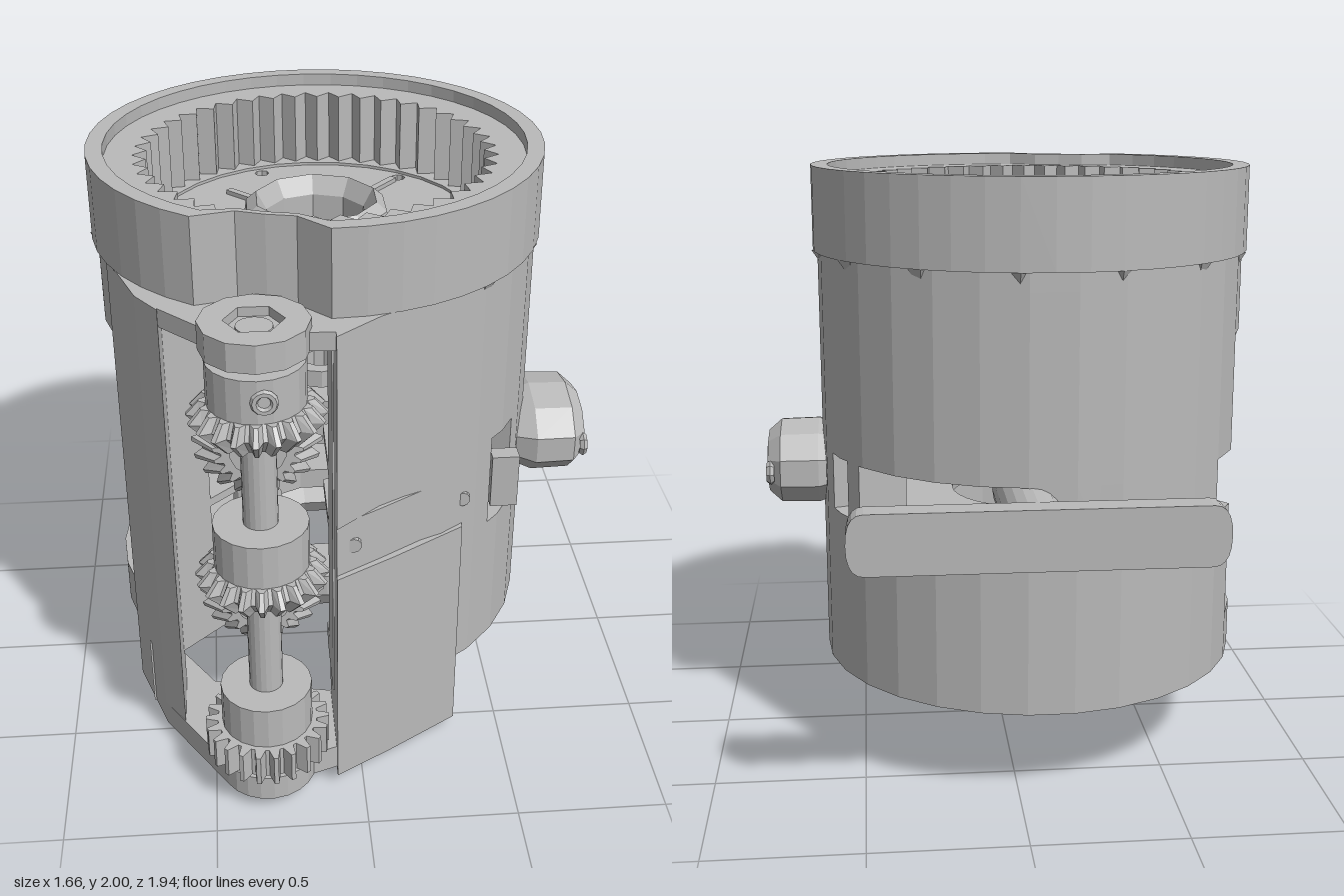
import * as THREE from 'three';

const grey = new THREE.MeshStandardMaterial({ color: 0xbababa, flatShading: true });
grey.name = 'plainGrey';
const CX = -0.095, CZ = -0.02;   // drum axis
const SX = -0.32, SZ = 0.76;     // gear column axis
const rad = THREE.MathUtils.degToRad;

function add(group, name, geometry, x = 0, y = 0, z = 0) {
  const mesh = new THREE.Mesh(geometry, grey);
  mesh.name = name;
  mesh.position.set(x, y, z);
  group.add(mesh);
  return mesh;
}

// Upright prism from an (x, z) outline
function prism(points, y0, y1, holes = []) {
  const v = (list) => list.map(([x, z]) => new THREE.Vector2(x, z));
  const shape = new THREE.Shape(v(points));
  holes.forEach((h) => shape.holes.push(new THREE.Path(v(h))));
  const g = new THREE.ExtrudeGeometry(shape, { depth: y1 - y0, bevelEnabled: false });
  return g.rotateX(Math.PI / 2).translate(0, y1, 0);
}

// Points along a circle; r may depend on the index and angle
function arc(cx, cz, r, a0, a1, n, closed = false) {
  const pts = [];
  for (let i = 0; i < (closed ? n : n + 1); i++) {
    const a = rad(a0 + ((a1 - a0) * i) / n);
    const q = typeof r === 'function' ? r(i, a) : r;
    pts.push([cx + q * Math.cos(a), cz + q * Math.sin(a)]);
  }
  return pts;
}
const circle = (cx, cz, r, n) => arc(cx, cz, r, 0, 360, n, true);

// Solid through a stack of [y, outline] sections
function loft(sections) {
  const out = [], n = sections[0][1].length;
  const p = (s, i) => [s[1][i % n][0], s[0], s[1][i % n][1]];
  const lo = sections[0], hi = sections[sections.length - 1];
  for (let i = 0; i < n; i++) {
    for (let s = 0; s + 1 < sections.length; s++) {
      const a = p(sections[s], i), b = p(sections[s], i + 1);
      const c = p(sections[s + 1], i + 1), d = p(sections[s + 1], i);
      out.push(...a, ...d, ...c, ...a, ...c, ...b);
    }
    out.push(0, lo[0], 0, ...p(lo, i), ...p(lo, i + 1));
    out.push(0, hi[0], 0, ...p(hi, i + 1), ...p(hi, i));
  }
  const g = new THREE.BufferGeometry();
  g.setAttribute('position', new THREE.Float32BufferAttribute(out, 3));
  g.computeVertexNormals();
  return g;
}

// Toothed wheel from [y, tip radius, root radius] rows
function gear(rows, teeth) {
  return loft(rows.map(([y, tip, root]) =>
    [y, arc(0, 0, (i) => (i % 4 < 2 ? tip : root), 0, 360, teeth * 4, true)]));
}

// Drum outline between two angles, on fixed 12 degree facets; flat on the left where recessed
function drumArc(a, b, recessed) {
  const stops = [a];
  for (let d = -180; d < 360; d += 6) if (d > a && d < b) stops.push(d);
  return [...stops, b].map((d) => {
    const off = ((d % 12) + 12) % 12 - 6, t = rad(d);
    let r = 0.72 * Math.cos(rad(6)) / Math.cos(rad(off));
    if (recessed && d > 148 && d < 204) r = Math.min(r, 0.585 / Math.abs(Math.cos(t)));
    return [CX + r * Math.cos(t), CZ + r * Math.sin(t)];
  });
}

function buildDrum(g) {
  // Wall bands with their openings in degrees
  const front = [90, 137], side = [29, 41];
  const bands = [
    [0.31, 0.47, [front]],
    [0.47, 0.80, [front]],
    [0.80, 0.87, [side, front]],
    [0.87, 1.06, [[-84, -34], [-28, -18], side, front, [148, 160], [188, 216]]],
    [1.06, 1.13, [side, front]],
    [1.13, 1.45, [front]],
    [1.45, 1.66, [front]],
    [1.66, 1.72, []],
  ];
  for (const [y0, y1, gaps] of bands) {
    let from = -90;
    for (const [a, b] of [...gaps, [270, 270]]) {
      const n = Math.max(1, Math.round((a - from) / 12));
      const outline = [...drumArc(from, a, y0 > 0.4 && y1 < 1.5), ...arc(CX, CZ, 0.53, a, from, n)];
      add(g, 'drumWall', prism(outline, y0, y1));
      from = b;
    }
  }
  // Inner lip at the bottom and decks above and below the handle slot
  for (const [y, h, r] of [[0.31, 0.08, 0.45], [0.84, 0.03, 0.27], [1.06, 0.03, 0.27]])
    add(g, 'innerDeck', prism([...arc(CX, CZ, 0.54, 137, 450, 28), ...arc(CX, CZ, r, 450, 137, 28)], y, y + h));
  // Crown rim, notched for the column, around a slightly lower toothed ring
  const rimRadius = (outer) => (i, t) => {
    const x = CX + 0.73 * Math.cos(t), z = CZ + 0.73 * Math.sin(t);
    return Math.hypot(x - SX, z - SZ) < 0.17 ? 0.645 : outer;
  };
  const crown = (outer) => arc(CX, CZ, rimRadius(outer), 0, 360, 44, true);
  const inner = arc(CX, CZ, (i, t) => Math.min(0.68, rimRadius(0.73)(i, t) - 0.02), 0, 360, 44, true);
  const teeth = arc(CX, CZ, (i) => (i % 2 ? 0.545 : 0.59), 0, 360, 88, true);
  add(g, 'crownRim', prism(crown(0.735), 1.72, 2, [inner]));
  add(g, 'crownTeeth', prism(inner, 1.7, 1.96, [teeth]));
  for (let i = 0; i < 14; i++) {
    const a = rad(i * 25.7 + 150);
    if (Math.sin(a) > 0.75) continue;
    const c = new THREE.ConeGeometry(0.04, 0.06, 4).rotateX(Math.PI);
    add(g, 'crownBracket', c, CX + 0.7 * Math.cos(a), 1.69, CZ + 0.7 * Math.sin(a));
  }
  // Floor, hub and ribs inside the crown
  const holes = [[0.22, -0.4], [-0.41, 0.36], [-0.26, -0.48], [-0.57, -0.1]].map(([x, z]) => circle(x, z, 0.025, 8));
  add(g, 'crownFloor', prism(circle(CX, CZ, 0.61, 40), 1.64, 1.71, [circle(CX, CZ, 0.18, 8), ...holes]));
  const hub = [[0.25, 1.71], [0.24, 1.77], [0.205, 1.8], [0.17, 1.74], [0.17, 1.58], [0.25, 1.58], [0.25, 1.71]];
  add(g, 'crownHub', new THREE.LatheGeometry(hub.map((p) => new THREE.Vector2(...p)), 10), CX, 0, CZ);
  for (const [x, z] of [[0.2, -0.37], [-0.38, -0.3], [-0.39, 0.34], [0.07, 0.45], [-0.13, 0.5]]) {
    const len = Math.hypot(x - CX, z - CZ) - 0.2, a = Math.atan2(z - CZ, x - CX);
    const rib = add(g, 'floorRib', new THREE.BoxGeometry(len, 0.02, 0.025),
      CX + (0.2 + len / 2) * Math.cos(a), 1.715, CZ + (0.2 + len / 2) * Math.sin(a));
    rib.rotation.y = -a;
  }
}

function buildHousing(g) {
  // Cheeks beside the front opening
  add(g, 'lowerRightCheek', prism([[-0.09, 0.5], [-0.09, 0.83], [0.1, 0.72], [0.34, 0.57], [0.34, 0.48]], 0.05, 0.87));
  add(g, 'middleRightCheek', prism([[-0.09, 0.5], [-0.09, 0.81], [0.06, 0.72], [0.36, 0.53], [0.3, 0.42]], 0.87, 1.06));
  add(g, 'upperRightCheek', prism([[-0.09, 0.5], [-0.09, 0.83], [-0.02, 0.77], [0.05, 0.71], [0.24, 0.6], [0.22, 0.45]], 1.06, 1.72));
  add(g, 'leftCheek', prism([[-0.6, 0.4], [-0.6, 0.62], [-0.67, 0.52], [-0.77, 0.24], [-0.66, 0.24]], 0.05, 1.72));
  // Sloping web that carries the left cheek back under the drum
  const web = new THREE.Shape([[0.4, 0.05], [0.24, 0.05], [0.16, 0.27], [-0.2, 0.31], [0.4, 0.31]].map((p) => new THREE.Vector2(...p)));
  const webGeometry = new THREE.ExtrudeGeometry(web, { depth: 0.1, bevelEnabled: false });
  add(g, 'leftWeb', webGeometry.rotateY(-Math.PI / 2), -0.62);
  // Base and top plates around the column
  const nose = arc(SX, SZ, 0.16, 20, 150, 8);
  add(g, 'basePlate', prism([[0.34, 0.48], [0.34, 0.57], [0.1, 0.72], ...nose, [-0.67, 0.52], [-0.75, 0.24], [-0.62, 0.24], [-0.5, 0.42], [-0.1, 0.5]], 0.05, 0.14));
  add(g, 'topPlate', prism([[0.22, 0.5], [0.22, 0.61], [0.03, 0.72], [-0.09, 0.8], ...arc(SX, SZ, 0.1, 20, 150, 6), [-0.62, 0.59], [-0.66, 0.4]], 1.66, 1.72));
  add(g, 'topBearing', prism(circle(SX, SZ, 0.165, 12), 1.66, 1.75, [circle(SX, SZ, 0.09, 6)]));
  for (const x of [-0.035, 0.34])
    add(g, 'pin', new THREE.CylinderGeometry(0.025, 0.025, 0.04, 10).rotateX(Math.PI / 2), x, 0.965, x < 0 ? 0.765 : 0.535);
  add(g, 'sideLatch', new THREE.BoxGeometry(0.09, 0.19, 0.06), 0.495, 0.965, 0.43);
}

function buildColumn(g) {
  const cyl = (name, r, y0, y1, n = 20) =>
    add(g, name, new THREE.CylinderGeometry(r, r, y1 - y0, n), SX, (y0 + y1) / 2, SZ);
  cyl('columnFoot', 0.075, 0, 0.06, 6);
  cyl('columnShaft', 0.055, 0.05, 1.73);
  add(g, 'spurGear', gear([[0.16, 0.205, 0.165], [0.27, 0.205, 0.165]], 22), SX, 0, SZ);
  cyl('lowerCollar', 0.15, 0.27, 0.42);
  // Bevel gears on the column, each driving one with a horizontal shaft
  for (const [y, top] of [[0.8, 1.06], [1.38, 1.63]]) {
    add(g, 'columnBevelGear', gear([[0, 0.15, 0.12], [0.065, 0.21, 0.175], [0.11, 0.17, 0.15]], 20), SX, y, SZ);
    cyl('gearCollar', 0.15, y + 0.1, top);
    const cross = gear([[0, 0.16, 0.14], [0.03, 0.205, 0.175], [0.1, 0.14, 0.115]], 20).rotateX(Math.PI / 2);
    add(g, 'crossBevelGear', cross, SX, y - 0.14, 0.54);
    add(g, 'crossShaft', new THREE.CylinderGeometry(0.09, 0.09, 0.62, 14).rotateX(Math.PI / 2), SX, y - 0.14, 0.34);
  }
  add(g, 'setScrew', new THREE.TorusGeometry(0.03, 0.012, 6, 12), -0.3, 1.56, SZ + 0.148);
}

function buildInside(g) {
  // Support ring, lower gear ring and pierced carrier below the hub
  add(g, 'innerRing', prism(circle(CX, CZ, 0.44, 20), 0.5, 0.58, [circle(CX, CZ, 0.25, 14)]));
  add(g, 'innerCrownGear', new THREE.TorusGeometry(0.3, 0.07, 6, 18).rotateX(Math.PI / 2), CX, 0.44, CZ);
  const slots = [-0.15, 0, 0.15].map((dz) => circle(CX, CZ + dz, 0.055, 10));
  add(g, 'carrier', prism(circle(CX, CZ, 0.25, 12), 1.22, 1.28, slots));
  for (const x of [-0.21, 0.02])
    add(g, 'guidePlate', new THREE.BoxGeometry(0.06, 0.2, 0.2), x, 1.38, CZ);
}

function buildHandle(g) {
  add(g, 'handleRod', new THREE.CylinderGeometry(0.095, 0.095, 0.5, 20).rotateX(Math.PI / 2), -0.03, 0.965, -0.65);
  const s = new THREE.Shape(), w = 0.57, h = 0.095, c = 0.055;
  s.moveTo(-w + c, -h).lineTo(w - c, -h).quadraticCurveTo(w, -h, w, 0).quadraticCurveTo(w, h, w - c, h);
  s.lineTo(-w + c, h).quadraticCurveTo(-w, h, -w, 0).quadraticCurveTo(-w, -h, -w + c, -h);
  const bar = new THREE.ExtrudeGeometry(s, { depth: 0.085, bevelEnabled: false, curveSegments: 5 });
  add(g, 'handleBar', bar, -0.03, 0.965, -0.97);
}

function buildKnob(g) {
  const oval = (k) => circle(0, 0, k, 10).map(([x, z]) => [x * 0.15, z * 0.225]);
  const body = loft([[0.53, oval(0.72)], [0.64, oval(1)], [0.77, oval(0.98)], [0.815, oval(0.72)]]).rotateZ(-Math.PI / 2);
  add(g, 'sideKnob', body, 0, 0.965, 0.065);
  add(g, 'knobHub', new THREE.CylinderGeometry(0.075, 0.085, 0.02, 6).rotateZ(-Math.PI / 2), 0.812, 0.955, 0.065);
  for (const dz of [-0.165, 0.165])
    add(g, 'knobEye', new THREE.TorusGeometry(0.03, 0.014, 5, 8).rotateY(Math.PI / 2), 0.805, 0.96, 0.065 + dz);
}

export function createModel() {
  const model = new THREE.Group();
  model.name = 'gearHousing';
  const parts = { drum: buildDrum, housing: buildHousing, gearColumn: buildColumn, inside: buildInside, handle: buildHandle, knob: buildKnob };
  for (const [name, build] of Object.entries(parts)) {
    const group = new THREE.Group();
    group.name = name;
    build(group);
    model.add(group);
  }
  return model;
}
